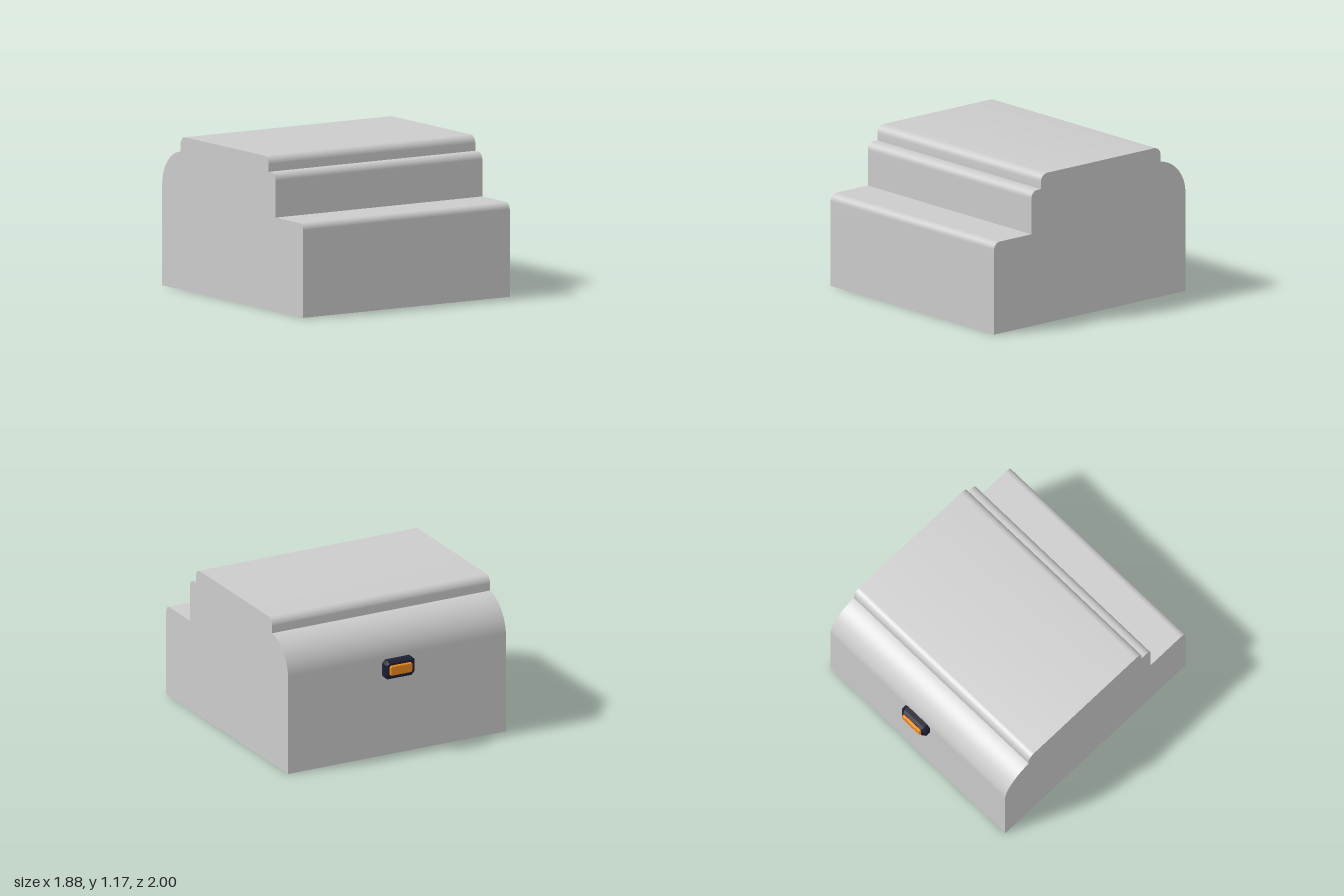
import * as THREE from 'three';
import { toCreasedNormals } from 'three/addons/utils/BufferGeometryUtils.js';

const HALF_WIDTH = 0.94;
const BACK = -0.925;

function part(name, geometry, color) {
  const mesh = new THREE.Mesh(geometry, new THREE.MeshStandardMaterial({ color }));
  mesh.name = name;
  return mesh;
}

// Stepped side profile (shape x = depth, y = height), extruded across the width
function bodyGeometry() {
  const s = new THREE.Shape();
  const round = (cx, cy, r, from, to) => s.absarc(cx, cy, r, from, to, false);
  s.moveTo(BACK, 0);
  s.lineTo(1, 0);
  round(0.945, 0.665, 0.055, 0, Math.PI / 2); // lower front step
  s.lineTo(0.625, 0.72);
  round(0.565, 0.998, 0.06, 0, Math.PI / 2); // middle step
  s.lineTo(0.53, 1.058);
  round(0.465, 1.11, 0.065, 0, Math.PI / 2); // raised top, front edge
  round(-0.61, 1.11, 0.065, Math.PI / 2, Math.PI); // raised top, back edge
  s.lineTo(-0.675, 1.057);
  round(-0.635, 0.77, 0.29, Math.PI / 2 + 0.138, Math.PI); // large back curve
  s.closePath();

  const g = new THREE.ExtrudeGeometry(s, { depth: HALF_WIDTH * 2, bevelEnabled: false, curveSegments: 16 });
  g.translate(0, 0, -HALF_WIDTH);
  g.rotateY(-Math.PI / 2);
  return toCreasedNormals(g, 0.5);
}

// Chamfered block with cut corners, reaching from zInner back to zOuter
function chamferedBlock(w, h, cut, bevel, zInner, zOuter) {
  const x = w / 2, y = h / 2;
  const s = new THREE.Shape([
    [x, -y + cut], [x, y - cut], [x - cut, y], [-x + cut, y],
    [-x, y - cut], [-x, -y + cut], [-x + cut, -y], [x - cut, -y],
  ].map(([a, b]) => new THREE.Vector2(a, b)));
  const g = new THREE.ExtrudeGeometry(s, {
    depth: zInner - zOuter - bevel, bevelThickness: bevel, bevelSize: bevel,
    bevelOffset: -bevel, bevelSegments: 1,
  });
  g.rotateY(Math.PI);
  g.translate(0, 0.7, zInner);
  return g;
}

export function createModel() {
  const model = new THREE.Group();
  model.name = 'steppedBlock';
  model.add(part('body', bodyGeometry(), 0xcccccc));

  // Small back fitting: dark housing with an orange insert
  const fitting = new THREE.Group();
  fitting.name = 'backFitting';
  fitting.add(
    part('housing', chamferedBlock(0.26, 0.15, 0.026, 0.02, BACK + 0.03, -0.983), 0x1e2033),
    part('insert', chamferedBlock(0.19, 0.08, 0.01, 0.008, -0.95, -1), 0xf08c1e),
  );
  model.add(fitting);
  return model;
}
